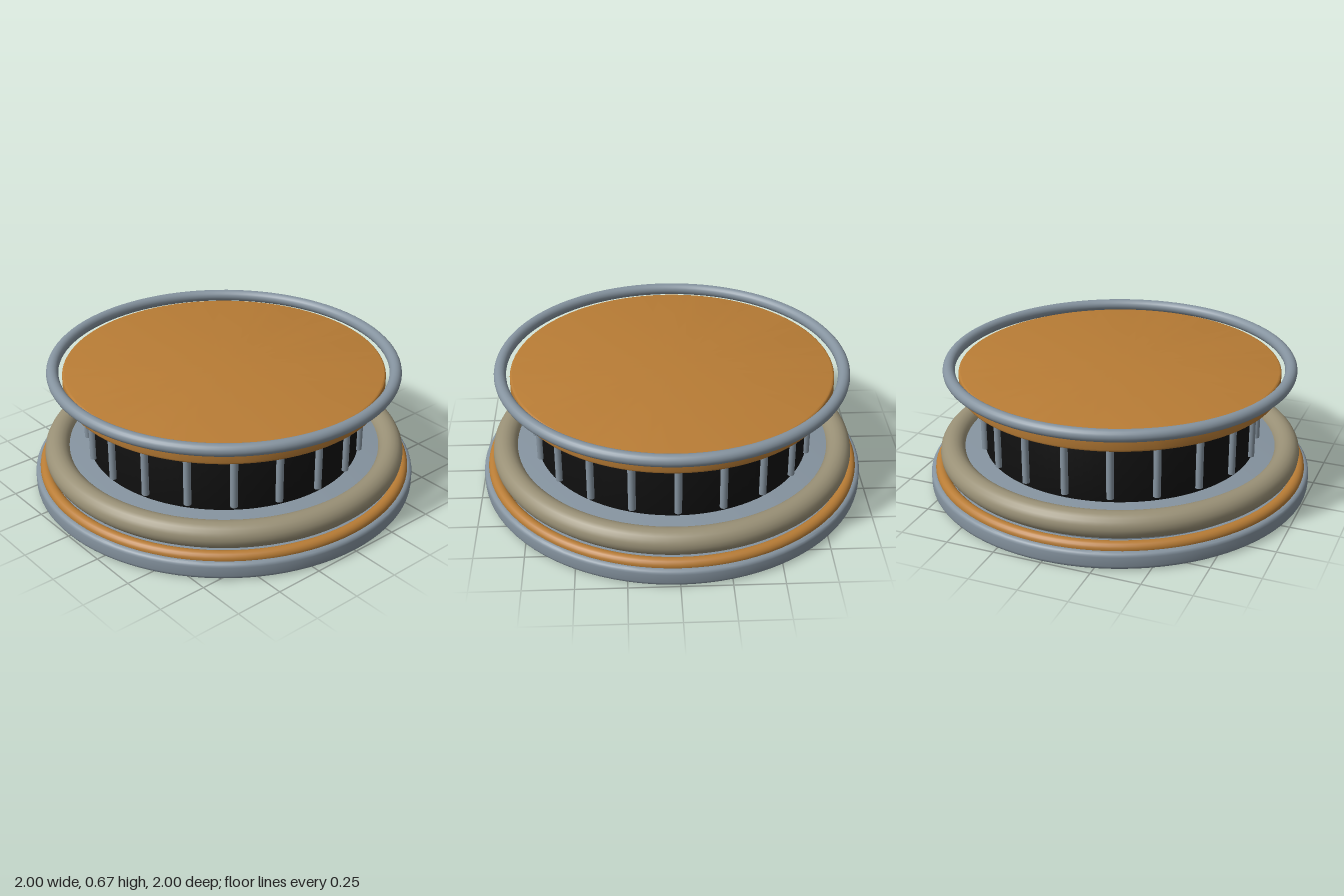
import * as THREE from 'three';
import { toCreasedNormals } from 'three/addons/utils/BufferGeometryUtils.js';

const mat = (name, color) => {
  const m = new THREE.MeshStandardMaterial({ color });
  m.name = name;
  return m;
};

export function createModel() {
  const steel = mat('steel grey', 0x85939f);
  const copper = mat('copper orange', 0xb87c35);
  const tan = mat('tan', 0x999076);
  const black = mat('black', 0x111111);

  const group = new THREE.Group();
  group.name = 'drum';

  const add = (name, geometry, material, y = 0) => {
    const mesh = new THREE.Mesh(geometry, material);
    mesh.name = name;
    mesh.position.y = y;
    group.add(mesh);
    return mesh;
  };

  // Solid disc with rounded rims, turned around the y axis
  const disc = (radius, y0, y1, bevel) => {
    const pts = [new THREE.Vector2(0, y0)];
    for (const [cy, start] of [[y0 + bevel, -Math.PI / 2], [y1 - bevel, 0]]) {
      for (let i = 0; i <= 4; i++) {
        const a = start + (i / 4) * Math.PI / 2;
        pts.push(new THREE.Vector2(radius - bevel + bevel * Math.cos(a), cy + bevel * Math.sin(a)));
      }
    }
    pts.push(new THREE.Vector2(0, y1));
    return toCreasedNormals(new THREE.LatheGeometry(pts, 96), 0.5);
  };

  // Ring lying flat
  const ring = (radius, tube) => new THREE.TorusGeometry(radius, tube, 20, 96).rotateX(Math.PI / 2);

  // Base and its stacked rings
  add('base', disc(1, 0, 0.09, 0.022), steel);
  add('baseTrim', ring(0.945, 0.031), copper, 0.094);
  add('floor', disc(0.87, 0.08, 0.2, 0.01), steel);
  add('cushionRing', ring(0.879, 0.066), tan, 0.178);

  // Dark core with a cage of upright rods
  add('core', disc(0.71, 0.19, 0.53, 0.008), black);
  const rods = new THREE.Group();
  rods.name = 'rods';
  const rodGeometry = new THREE.CylinderGeometry(0.019, 0.019, 0.28, 14);
  for (let i = 0; i < 20; i++) {
    const a = (i / 20) * Math.PI * 2;
    const rod = new THREE.Mesh(rodGeometry, steel);
    rod.name = 'rod';
    rod.position.set(Math.sin(a) * 0.717, 0.365, Math.cos(a) * 0.717);
    rods.add(rod);
  }
  group.add(rods);

  // Top plate with the hoop around it
  add('topPlate', disc(0.83, 0.525, 0.625, 0.012), copper);
  add('topHoop', ring(0.878, 0.031), steel, 0.635);

  return group;
}
